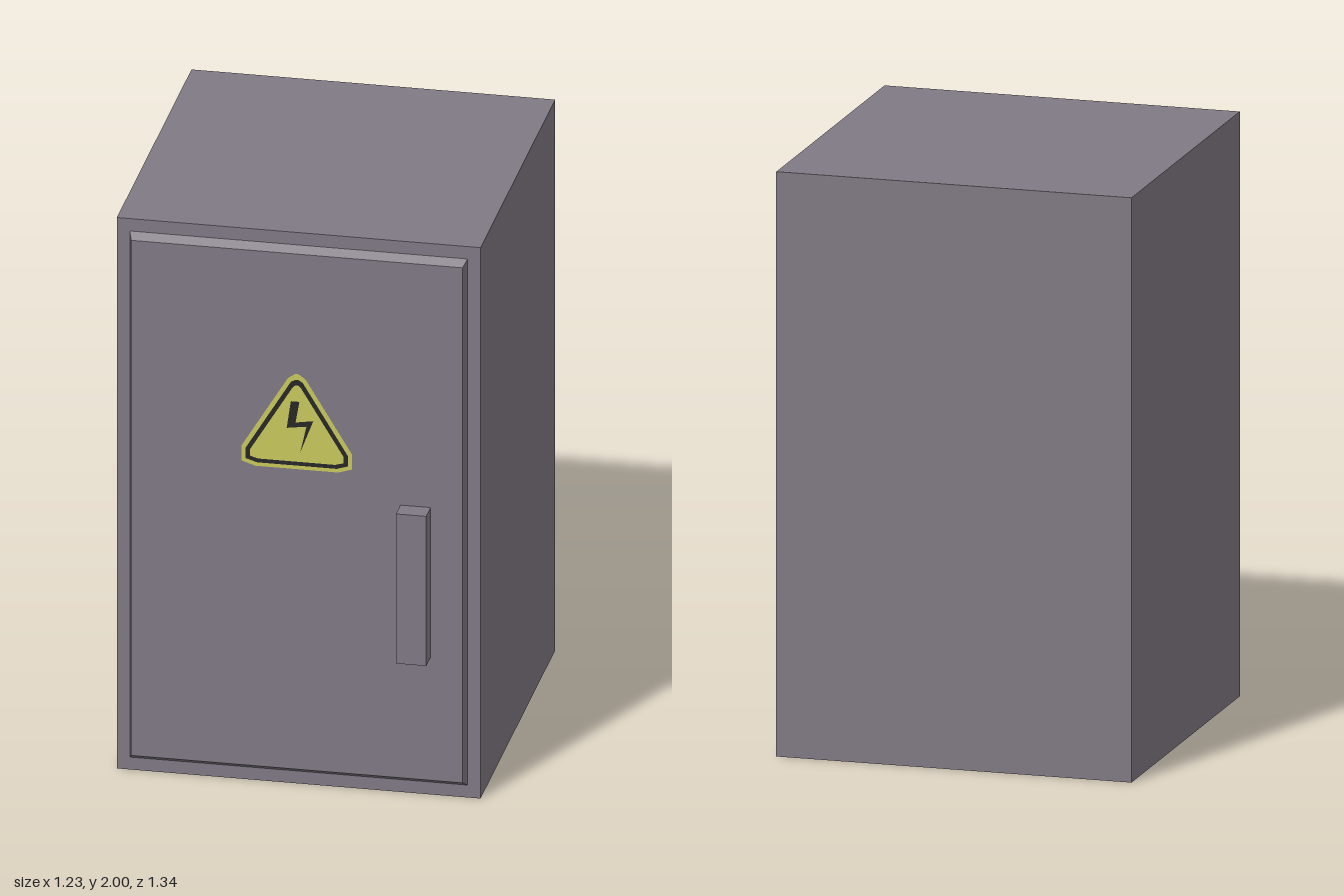
import * as THREE from 'three';

const steel = new THREE.MeshStandardMaterial({ color: 0x7f7983, flatShading: true });
const yellow = new THREE.MeshStandardMaterial({ color: 0xc8c85c });
const black = new THREE.MeshStandardMaterial({ color: 0x262626 });

const BACK = -0.67, FACE = 0.566, DOOR = 0.596, GRIP = 0.67;

function add(parent, name, geometry, material) {
  const mesh = new THREE.Mesh(geometry, material);
  mesh.name = name;
  parent.add(mesh);
  return mesh;
}

// Box given by its minimum and maximum corners
function box(x0, x1, y0, y1, z0, z1) {
  return new THREE.BoxGeometry(x1 - x0, y1 - y0, z1 - z0)
    .translate((x0 + x1) / 2, (y0 + y1) / 2, (z0 + z1) / 2);
}

// Symmetric outline: the right half, bottom to top, mirrored for the left
function mirrored(half) {
  const left = half.map(([x, y]) => [-x, y]).reverse();
  return [...half, ...left].map(([x, y]) => new THREE.Vector2(x, y));
}

function flat(points, hole) {
  const shape = new THREE.Shape(points);
  if (hole) shape.holes.push(new THREE.Path(hole));
  return new THREE.ShapeGeometry(shape);
}

export function createModel() {
  const cabinet = new THREE.Group();
  cabinet.name = 'electricalCabinet';

  add(cabinet, 'housing', box(-0.616, 0.616, 0, 2, BACK, FACE), steel);

  // Door panel, its front edges drawn in to form a bevel
  const door = box(-0.572, 0.572, 0.045, 1.955, FACE, DOOR);
  const p = door.attributes.position;
  for (let i = 0; i < p.count; i++) {
    if (p.getZ(i) < (FACE + DOOR) / 2) continue;
    p.setX(i, Math.sign(p.getX(i)) * 0.561);
    p.setY(i, 1 + Math.sign(p.getY(i) - 1) * 0.935);
  }
  door.computeVertexNormals();
  add(cabinet, 'door', door, steel);

  add(cabinet, 'handle', box(0.351, 0.453, 0.512, 1.055, DOOR, GRIP), steel);

  // Warning sign: nested flat outlines with blunted corners
  const sign = new THREE.Group();
  sign.name = 'warningSign';
  sign.position.z = DOOR + 0.002;
  cabinet.add(sign);
  const outer = mirrored([[0.14, 1.155], [0.187, 1.17], [0.187, 1.225], [0.03, 1.483], [0.006, 1.5]]);
  const middle = mirrored([[0.135, 1.168], [0.173, 1.18], [0.173, 1.218], [0.02, 1.47], [0.005, 1.479]]);
  const inner = mirrored([[0.13, 1.182], [0.158, 1.19], [0.158, 1.214], [0.013, 1.452], [0.004, 1.459]]);
  const bolt = [[-0.02, 1.4], [0.009, 1.4], [-0.004, 1.324], [0.056, 1.334],
    [0.011, 1.215], [0.033, 1.312], [-0.034, 1.302]].map(([x, y]) => new THREE.Vector2(x, y)).reverse();
  add(sign, 'signBorder', flat(outer, middle), yellow);
  add(sign, 'signFrame', flat(middle, inner), black);
  add(sign, 'signField', flat(inner, bolt), yellow);
  add(sign, 'boltSymbol', flat(bolt), black);

  return cabinet;
}
